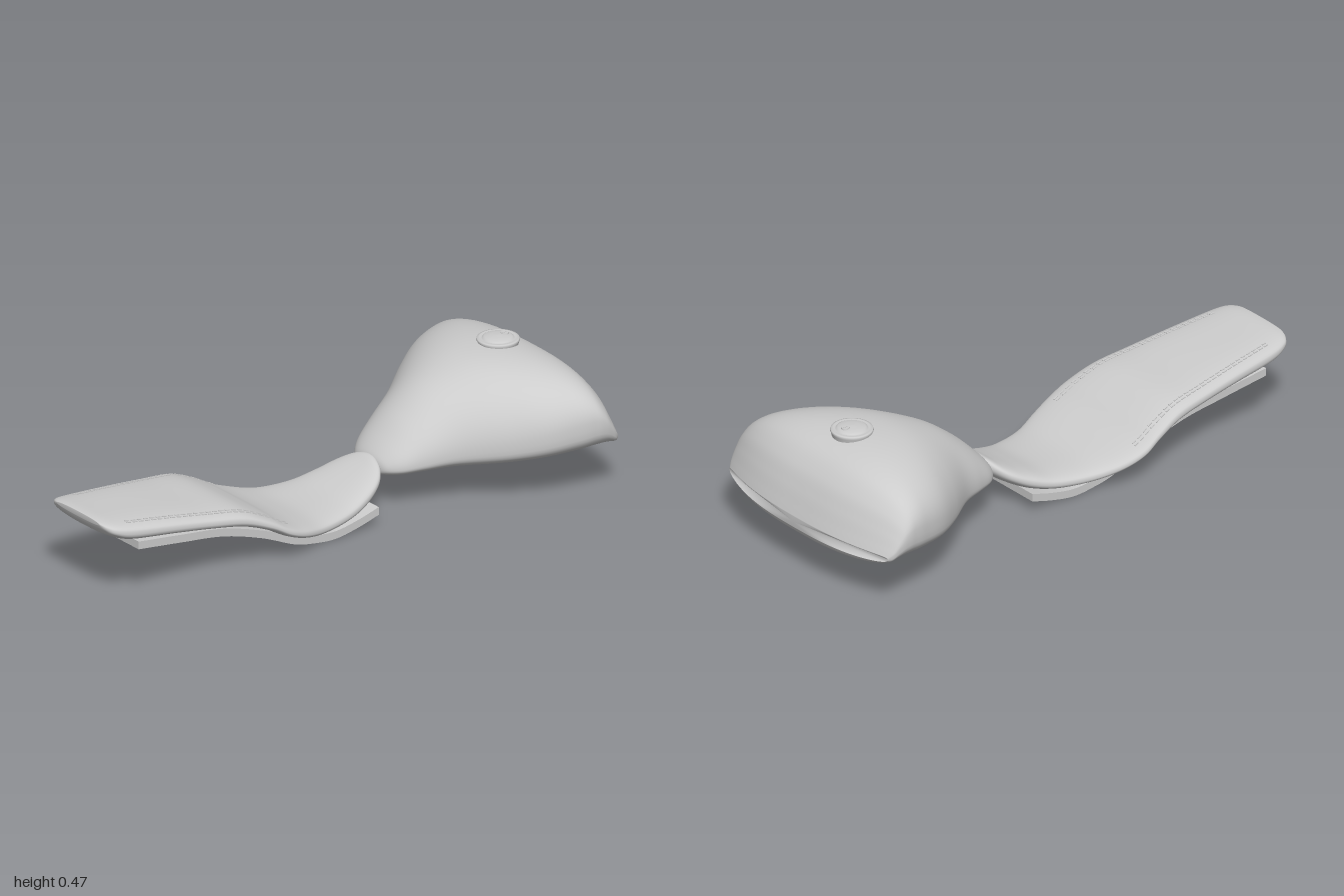
import * as THREE from 'three';

const grey = new THREE.MeshStandardMaterial({ color: 0xcccccc });
grey.name = 'light grey';

// Stations: [x, half width, bottom y, widest y, top y, upper roundness, lower roundness]
const SEAT = [
  [-1.0, 0.115, 0.272, 0.28, 0.289, 2.4, 2.4],
  [-0.99, 0.145, 0.25, 0.27, 0.29, 2.6, 2.4],
  [-0.965, 0.17, 0.228, 0.258, 0.289, 2.8, 2.4],
  [-0.9, 0.187, 0.203, 0.243, 0.281, 3, 2.4],
  [-0.74, 0.203, 0.186, 0.225, 0.263, 3, 2.4],
  [-0.6, 0.217, 0.171, 0.207, 0.244, 3, 2.4],
  [-0.47, 0.232, 0.15, 0.186, 0.225, 3, 2.4],
  [-0.37, 0.248, 0.118, 0.148, 0.182, 3, 2.4],
  [-0.3, 0.255, 0.08, 0.11, 0.143, 3, 2.4],
  [-0.22, 0.24, 0.048, 0.08, 0.112, 3, 2.4],
  [-0.12, 0.205, 0.027, 0.058, 0.091, 3, 2.4],
  [0.0, 0.175, 0.03, 0.062, 0.096, 2.8, 2.4],
  [0.09, 0.15, 0.05, 0.085, 0.123, 2.6, 2.4],
  [0.16, 0.12, 0.086, 0.118, 0.153, 2.4, 2.4],
  [0.2, 0.08, 0.115, 0.143, 0.175, 2.2, 2.2],
  [0.22, 0.035, 0.135, 0.155, 0.178, 2, 2],
];
const TANK = [
  [0.207, 0.05, 0.122, 0.143, 0.165, 2, 2],
  [0.22, 0.09, 0.114, 0.145, 0.188, 2, 2],
  [0.26, 0.132, 0.112, 0.152, 0.232, 2, 2.2],
  [0.33, 0.168, 0.115, 0.165, 0.298, 2, 2.4],
  [0.43, 0.217, 0.119, 0.185, 0.37, 2, 2.7],
  [0.56, 0.318, 0.124, 0.21, 0.426, 2.1, 3],
  [0.67, 0.39, 0.129, 0.232, 0.446, 2.3, 3],
  [0.78, 0.428, 0.134, 0.25, 0.442, 2.55, 3],
  [0.87, 0.44, 0.138, 0.257, 0.413, 2.7, 3],
  [0.93, 0.442, 0.141, 0.252, 0.357, 2.8, 3],
  [0.965, 0.438, 0.144, 0.235, 0.295, 2.8, 3],
  [0.988, 0.43, 0.15, 0.212, 0.24, 2.8, 3],
  [1.0, 0.415, 0.17, 0.195, 0.209, 2.8, 3],
];

// Smoothly interpolated station at t in 0..1
function sample(stations, t) {
  const last = stations.length - 1;
  const i = Math.min(Math.floor(t * last), last - 1);
  const f = t * last - i;
  const at = (k) => stations[THREE.MathUtils.clamp(k, 0, last)];
  return at(i).map((b, k) => {
    const a = at(i - 1)[k], c = at(i + 1)[k], d = at(i + 2)[k];
    return b + 0.5 * f * (c - a + f * (2 * a - 5 * b + 4 * c - d + f * (3 * (b - c) + d - a)));
  });
}

// Closed body made of rounded cross-sections along x
function loft(stations, rows, sides, bend = (x) => x) {
  const pos = [], index = [];
  const power = (v, n) => Math.sign(v) * Math.abs(v) ** (2 / n);
  for (let i = 0; i <= rows; i++) {
    const [x, w, lo, mid, hi, nUp, nLow] = sample(stations, i / rows);
    for (let j = 0; j < sides; j++) {
      const a = (j / sides) * Math.PI * 2;
      const c = Math.cos(a), s = Math.sin(a);
      const n = s >= 0 ? nUp : nLow;
      const z = w * power(c, n);
      pos.push(bend(x, z), mid + (s >= 0 ? hi - mid : mid - lo) * power(s, n), z);
    }
  }
  for (let i = 0; i < rows; i++) {
    for (let j = 0; j < sides; j++) {
      const k = (j + 1) % sides;
      const a = i * sides + j, b = i * sides + k;
      index.push(a, a + sides, b, b, a + sides, b + sides);
    }
  }
  // End caps
  for (const end of [0, rows]) {
    const [x, , lo, , hi] = sample(stations, end / rows);
    const centre = pos.length / 3;
    pos.push(x, (lo + hi) / 2, 0);
    for (let j = 0; j < sides; j++) {
      const a = end * sides + j, b = end * sides + ((j + 1) % sides);
      index.push(centre, end ? b : a, end ? a : b);
    }
  }
  const geo = new THREE.BufferGeometry();
  geo.setAttribute('position', new THREE.Float32BufferAttribute(pos, 3));
  geo.setIndex(index);
  geo.computeVertexNormals();
  return geo;
}

// Point on the seat's upper surface
function seatPoint(x, z) {
  let a = 0, b = 1;
  for (let i = 0; i < 24; i++) {
    const m = (a + b) / 2;
    if (sample(SEAT, m)[0] < x) a = m; else b = m;
  }
  const [, w, , mid, hi, n] = sample(SEAT, a);
  const r = Math.min(Math.abs(z) / w, 1);
  return new THREE.Vector3(x, mid + (hi - mid) * (1 - r ** n) ** (1 / n), z);
}

export function createModel() {
  const model = new THREE.Group();
  model.name = 'seatAndTank';
  const add = (geo, name, parent = model) => {
    const mesh = new THREE.Mesh(geo, grey);
    mesh.name = name;
    parent.add(mesh);
    return mesh;
  };

  add(loft(SEAT, 90, 48), 'seat');

  // Tank, with its tail edge bowed in plan
  const bow = (x, z) => x - 0.075 * THREE.MathUtils.smoothstep(x, 0.75, 1) * Math.abs(z / 0.44) ** 2.6;
  add(loft(TANK, 84, 72, bow), 'fuelTank');

  // Base plate following the seat's underside
  const curve = new THREE.SplineCurve([
    [-0.88, 0.18], [-0.7, 0.158], [-0.527, 0.134], [-0.366, 0.085], [-0.23, 0.027],
    [-0.14, 0.008], [-0.056, 0.002], [0.035, 0.018], [0.12, 0.042],
  ].map(([x, y]) => new THREE.Vector2(x, y)));
  const under = curve.getPoints(40);
  const upper = under.map((p) => new THREE.Vector2(p.x, p.y + 0.028)).reverse();
  const plate = new THREE.ExtrudeGeometry(new THREE.Shape([...under, ...upper]), { depth: 0.35, bevelEnabled: false });
  plate.translate(0, 0, -0.175);
  add(plate, 'seatBasePlate');

  // Double rows of stitches on both sides of the seat
  const stitches = new THREE.Group();
  stitches.name = 'stitching';
  model.add(stitches);
  const stitch = new THREE.BoxGeometry(0.005, 0.005, 0.017);
  for (const side of [-1, 1]) {
    for (const [zStart, zEnd] of [[0.147, 0.212], [0.136, 0.198]]) {
      const count = 26;
      const rowPoint = (t) => seatPoint(-0.91 + 0.63 * t, side * THREE.MathUtils.lerp(zStart, zEnd, Math.min(t * 1.06, 1)));
      for (let i = 0; i < count; i++) {
        const p = rowPoint(i / count), q = rowPoint((i + 0.7) / count);
        const mesh = add(stitch, 'stitch', stitches);
        mesh.position.copy(p).lerp(q, 0.5);
        mesh.lookAt(q);
      }
    }
  }

  // Filler cap with stepped rim, domed lid and lock
  const cap = new THREE.Group();
  cap.name = 'fillerCap';
  cap.position.set(0.75, 0, 0);
  model.add(cap);
  const profile = [
    [0.066, 0.425], [0.07, 0.447], [0.073, 0.452], [0.071, 0.458], [0.062, 0.46],
    [0.056, 0.456], [0.053, 0.46], [0.046, 0.464], [0.025, 0.467], [0, 0.468],
  ].map(([r, y]) => new THREE.Vector2(r, y));
  add(new THREE.LatheGeometry(profile, 40), 'capBody', cap);
  const lock = add(new THREE.CylinderGeometry(0.013, 0.015, 0.008, 20), 'capLock', cap);
  lock.position.set(0.028, 0.466, 0);
  const slot = add(new THREE.BoxGeometry(0.016, 0.003, 0.004), 'keySlot', cap);
  slot.position.set(0.028, 0.47, 0);

  return model;
}
